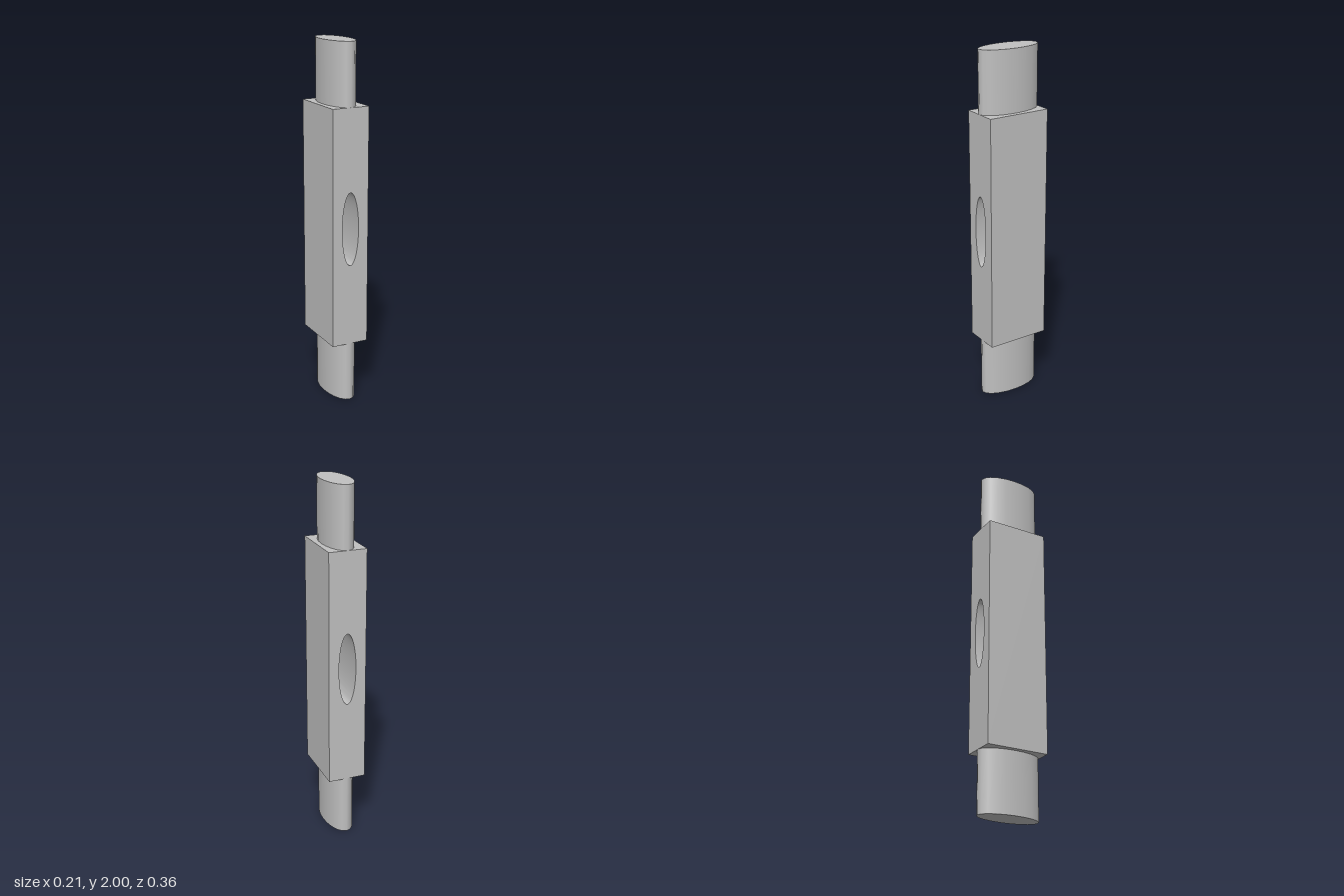
import * as THREE from 'three';
import { toCreasedNormals } from 'three/addons/utils/BufferGeometryUtils.js';

const HALF_W = 0.106, HALF_D = 0.178; // body half width and half depth
const BOTTOM = 0.342, TOP = 1.662;    // body shoulders

export function createModel() {
  const model = new THREE.Group();
  model.name = 'spindle';
  const grey = new THREE.MeshStandardMaterial({ color: 0xc0c0c0 });
  grey.name = 'light grey';

  // Rectangular body with an elliptical hole through it, front to back
  const outline = new THREE.Shape([
    new THREE.Vector2(-HALF_W, BOTTOM),
    new THREE.Vector2(HALF_W, BOTTOM),
    new THREE.Vector2(HALF_W, TOP),
    new THREE.Vector2(-HALF_W, TOP),
  ]);
  const hole = new THREE.Path();
  hole.absellipse(0, 1.004, 0.049, 0.204, 0, Math.PI * 2, true);
  outline.holes.push(hole);
  const bodyGeometry = new THREE.ExtrudeGeometry(outline, {
    depth: HALF_D * 2, bevelEnabled: false, curveSegments: 40,
  });
  bodyGeometry.translate(0, 0, -HALF_D);
  const body = new THREE.Mesh(toCreasedNormals(bodyGeometry, 0.8), grey);
  body.name = 'body';
  model.add(body);

  // Elliptical pegs at both ends
  function addPeg(name, y0, y1) {
    const geometry = new THREE.CylinderGeometry(1, 1, y1 - y0, 20);
    geometry.scale(0.079, 1, HALF_D);
    const peg = new THREE.Mesh(geometry, grey);
    peg.name = name;
    peg.position.y = (y0 + y1) / 2;
    model.add(peg);
  }
  addPeg('lowerPeg', 0, BOTTOM);
  addPeg('upperPeg', TOP, 2);

  return model;
}
